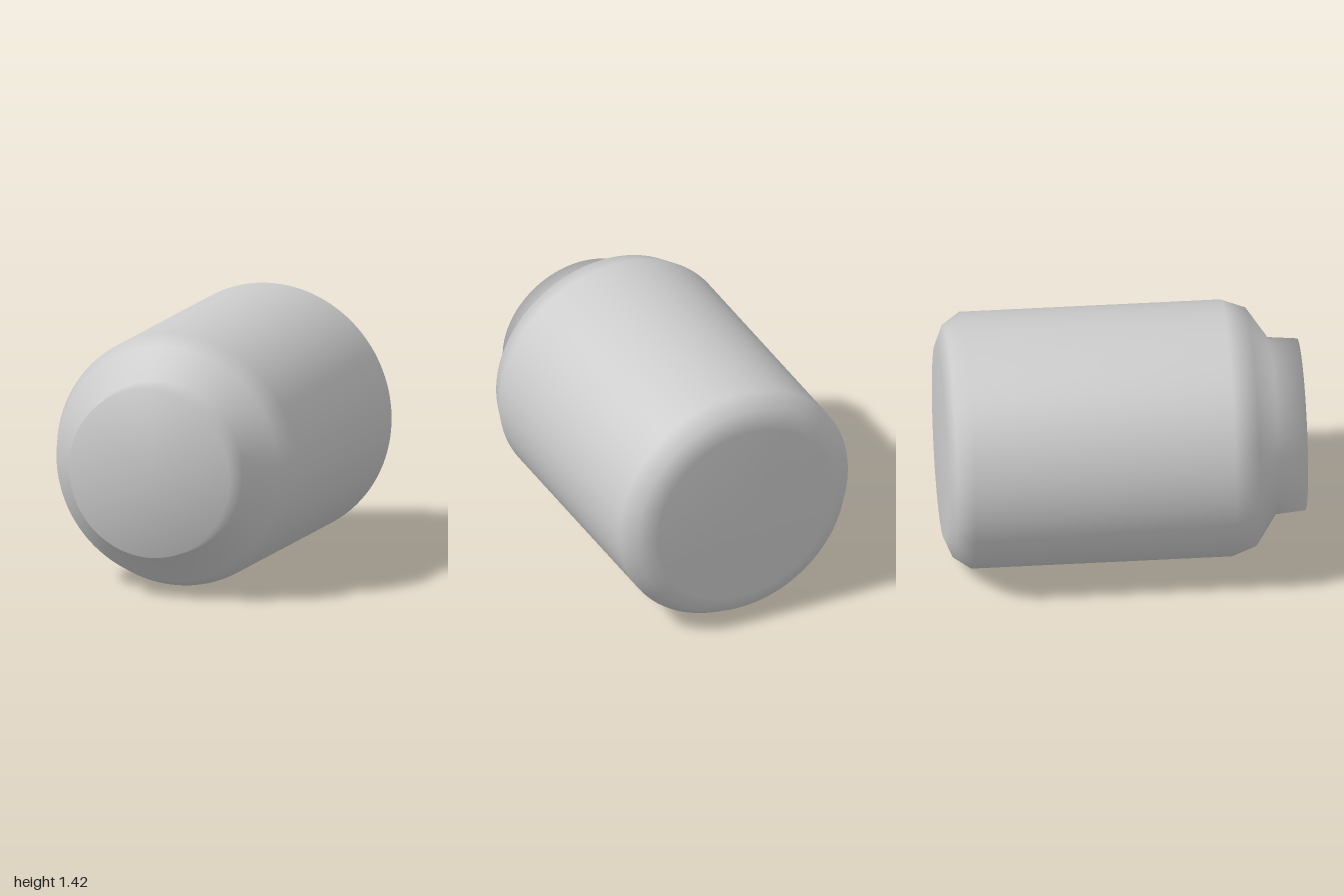
import * as THREE from 'three';

const RADIUS = 0.71;

export function createModel() {
  const group = new THREE.Group();
  group.name = 'canister';

  // Half profile [radius, z] from the back centre to the front centre
  const profile = [
    [0, -1], [0.54, -1], [0.645, -0.955], [RADIUS, -0.86], // back end and bevel
    [RADIUS, 0.585], [0.66, 0.72], // body and front shoulder
    [0.49, 0.835], [0.475, 1], [0, 1], // neck and front end
  ].map(([r, z]) => new THREE.Vector2(r, z));

  // Revolve the smooth closed body and lay it along z
  const geometry = new THREE.LatheGeometry(profile, 96);
  geometry.rotateX(Math.PI / 2);
  const material = new THREE.MeshStandardMaterial({ color: 0xcccccc });
  const body = new THREE.Mesh(geometry, material);
  body.name = 'canisterBody';
  body.position.y = RADIUS;
  group.add(body);

  return group;
}
